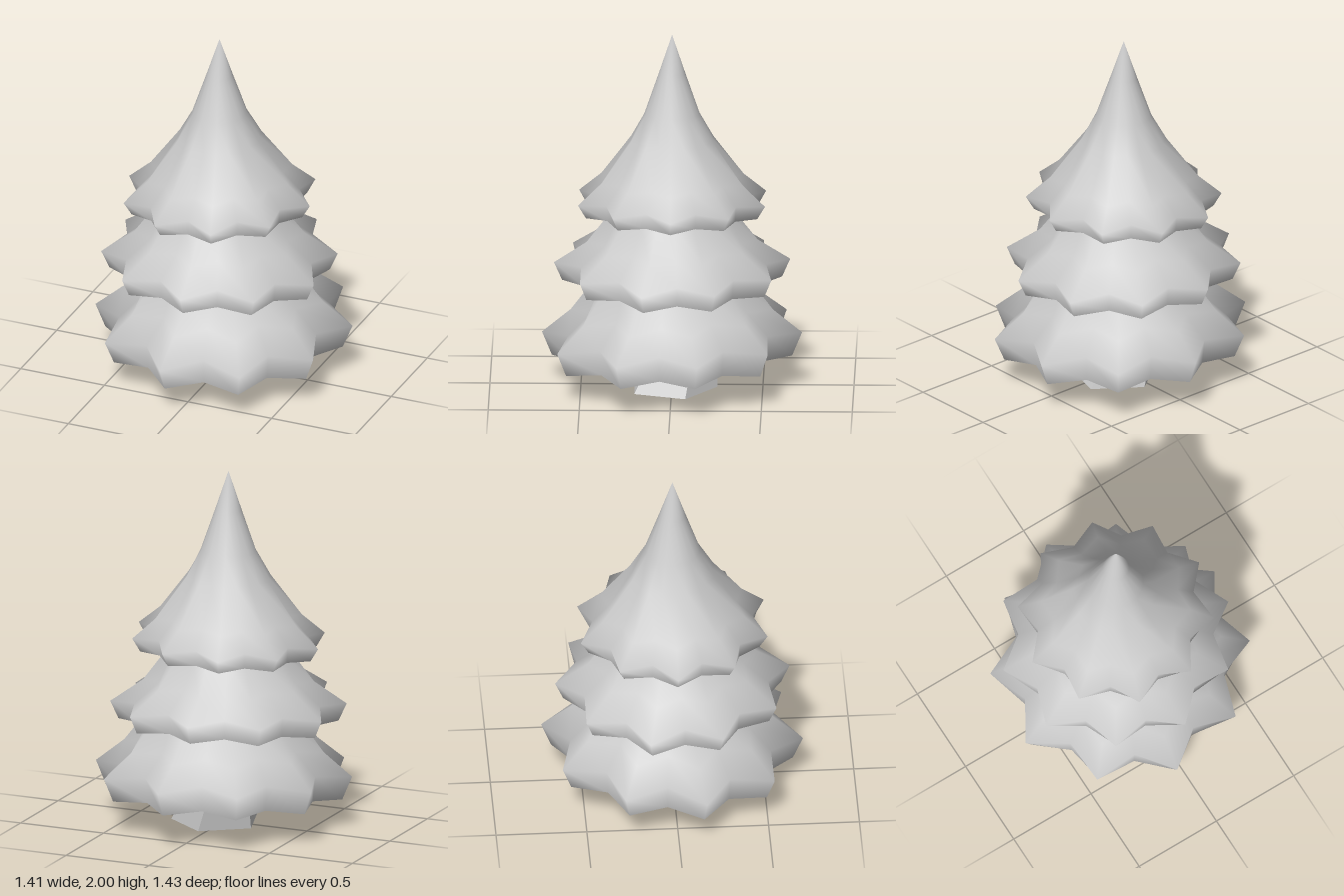
import * as THREE from 'three';

const material = new THREE.MeshStandardMaterial({ color: 0xcccccc, side: THREE.DoubleSide });
const POINTS = 10; // branch tips per tier

// Star-shaped surface through rows of [y, tip radius, valley radius], listed outside-down.
function starSurface(rows, turn, tilt) {
  const n = POINTS * 2;
  const pos = [], index = [];
  rows.forEach(([y, tip, valley = tip], i) => {
    for (let j = 0; j < n; j++) {
      const a = turn + (j * Math.PI) / POINTS;
      const r = j % 2 ? valley : tip;
      const x = r * Math.cos(a), z = -r * Math.sin(a);
      // valleys hang slightly higher than tips; the whole tier leans a little
      const sag = j % 2 ? (tip - valley) * 0.22 : 0;
      pos.push(x, y + sag + tilt(x, z), z);
      if (i < rows.length - 1) {
        const k = (j + 1) % n, p = i * n, q = p + n;
        index.push(p + j, q + j, q + k, p + j, q + k, p + k);
      }
    }
  });
  const geo = new THREE.BufferGeometry();
  geo.setAttribute('position', new THREE.Float32BufferAttribute(pos, 3));
  geo.setIndex(index);
  geo.computeVertexNormals();
  // a closed point at the top shades as one smooth tip
  if (rows[0][1] === 0) for (let j = 0; j < n; j++) geo.attributes.normal.setXYZ(j, 0, 1, 0);
  return geo;
}

function addMesh(parent, name, geo, mat = material) {
  const mesh = new THREE.Mesh(geo, mat);
  mesh.name = name;
  parent.add(mesh);
}

// Tiers: outer skirt down to the sharp rim, then the steep inside wall
const tiers = [
  {
    name: 'topTier', x: -0.027, turn: 0,
    tilt: (x) => 0.03 * x,
    outer: [[2, 0], [1.78, 0.073], [1.55, 0.152], [1.4, 0.237, 0.222], [1.17, 0.41, 0.35],
      [1.06, 0.54, 0.44], [0.985, 0.495, 0.435]],
    inner: [[0.985, 0.495, 0.435], [1.1, 0.38, 0.335], [1.27, 0.22]],
  },
  {
    name: 'middleTier', x: -0.027, turn: 22,
    tilt: (x, z) => 0.03 * (z * z - x * x),
    outer: [[1.3, 0.12], [0.985, 0.337, 0.315], [0.81, 0.47, 0.395],
      [0.69, 0.65, 0.535], [0.59, 0.605, 0.525]],
    inner: [[0.59, 0.605, 0.525], [0.73, 0.42, 0.365], [0.9, 0.28]],
  },
  {
    name: 'bottomTier', x: 0, turn: 12,
    tilt: (x, z) => -0.035 * z,
    outer: [[0.95, 0.18], [0.6, 0.43, 0.395], [0.43, 0.56, 0.45],
      [0.3, 0.72, 0.58], [0.167, 0.665, 0.565]],
    inner: [[0.167, 0.665, 0.565], [0.4, 0.44, 0.385], [0.57, 0.15]],
  },
];

// Bent five-sided trunk, lofted through rings of [y, radius, centre x, centre z]
function trunkGeometry() {
  const rings = [[0, 0.252, 0.042, 0], [0.14, 0.21, 0, -0.04], [0.6, 0.18, -0.02, -0.02]];
  const geo = new THREE.CylinderGeometry(1, 1, 2, 5, 2);
  const p = geo.attributes.position;
  for (let i = 0; i < p.count; i++) {
    const [y, r, cx, cz] = rings[Math.round(p.getY(i)) + 1];
    // turned half round so one corner points to the back
    p.setXYZ(i, cx - p.getX(i) * r, y, cz - p.getZ(i) * r);
  }
  const flat = geo.toNonIndexed();
  flat.computeVertexNormals();
  return flat;
}

export function createModel() {
  const tree = new THREE.Group();
  tree.name = 'firTree';
  for (const t of tiers) {
    const tier = new THREE.Group();
    tier.name = t.name;
    tier.position.x = t.x;
    const turn = THREE.MathUtils.degToRad(t.turn);
    addMesh(tier, 'branches', starSurface(t.outer, turn, t.tilt));
    addMesh(tier, 'underside', starSurface(t.inner, turn, t.tilt));
    tree.add(tier);
  }
  const bark = new THREE.MeshStandardMaterial({ color: 0xcccccc, flatShading: true });
  addMesh(tree, 'trunk', trunkGeometry(), bark);
  return tree;
}
